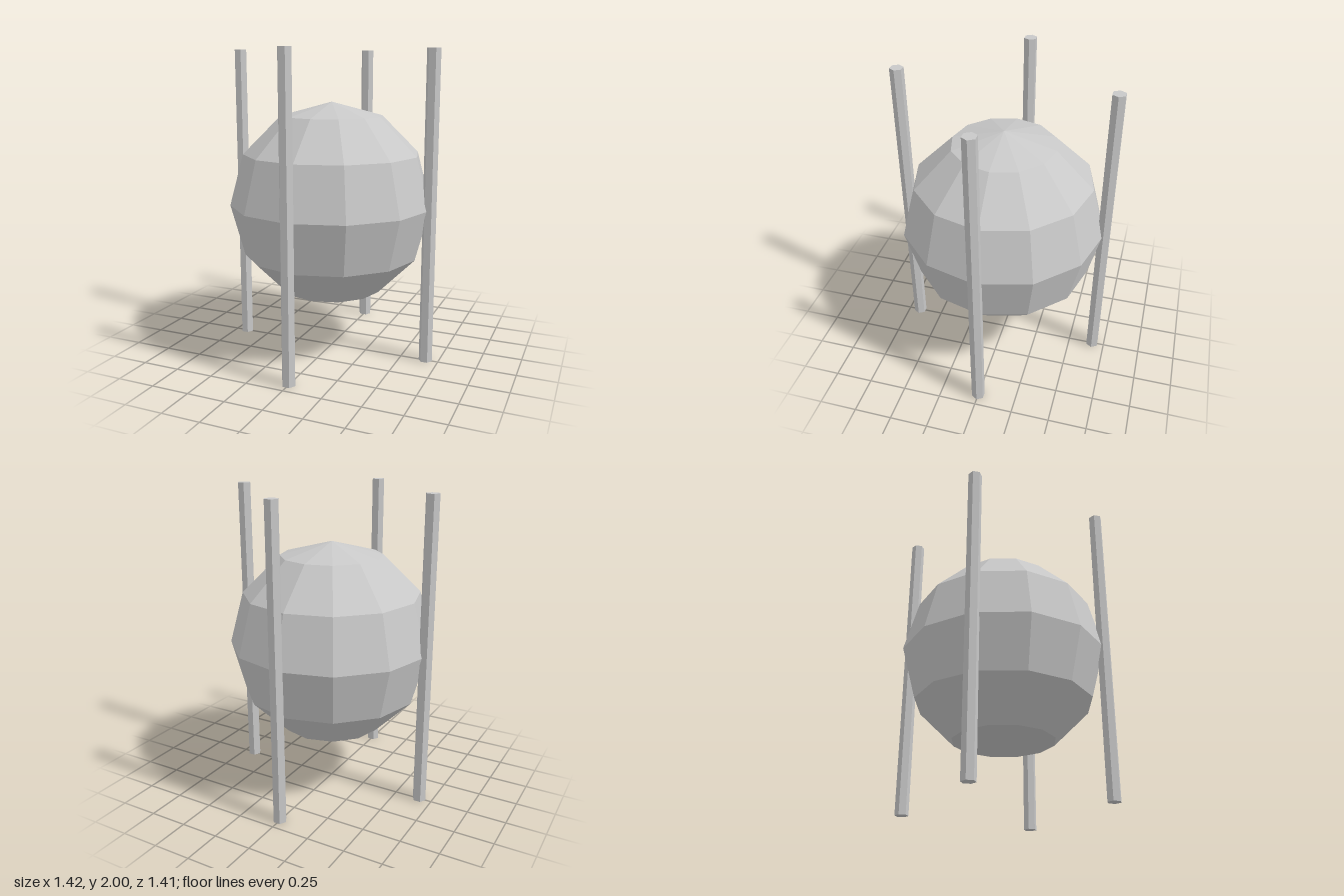
import * as THREE from 'three';

// Faceted copy of a geometry: every face gets its own normal
function faceted(geometry) {
  const flat = geometry.toNonIndexed();
  flat.computeVertexNormals();
  return flat;
}

export function createModel() {
  const group = new THREE.Group();
  const grey = new THREE.MeshStandardMaterial({ color: 0xc8c8c8 });
  grey.name = 'light grey';

  const radius = 2 / 3;

  // Low-poly ball in the middle
  const ball = new THREE.Mesh(faceted(new THREE.SphereGeometry(radius, 12, 6)), grey);
  ball.name = 'ball';
  ball.position.y = 1;
  group.add(ball);

  // Four hexagonal posts around the equator, corners pointing along x
  const postGeometry = faceted(new THREE.CylinderGeometry(0.044, 0.044, 2, 6).rotateY(Math.PI / 2));
  const posts = { leftPost: [1, 0], rightPost: [-1, 0], frontPost: [0, 1], backPost: [0, -1] };
  for (const [name, [x, z]] of Object.entries(posts)) {
    const post = new THREE.Mesh(postGeometry, grey);
    post.name = name;
    post.position.set(x * radius, 1, z * radius);
    group.add(post);
  }

  return group;
}
